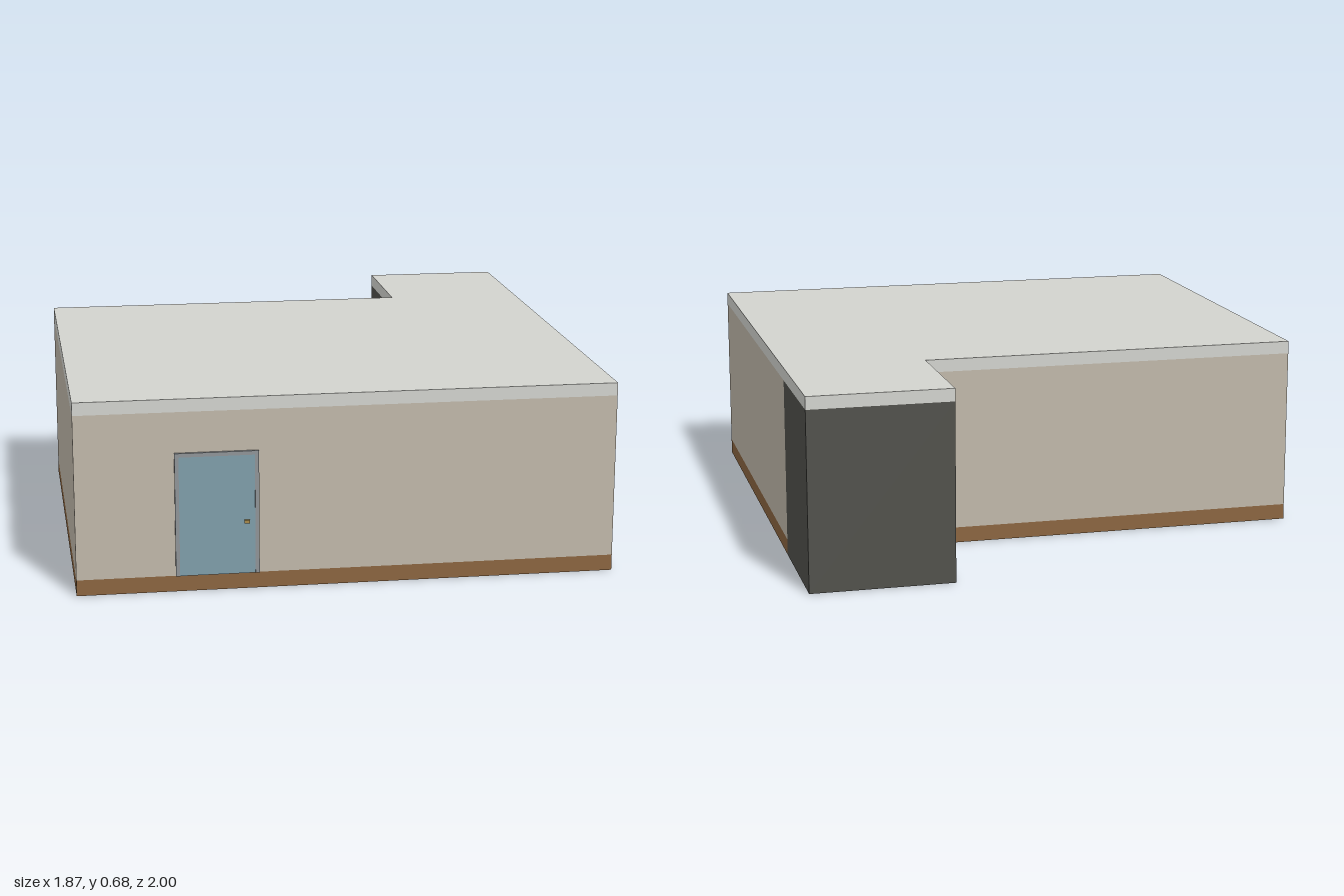
import * as THREE from 'three';

const paint = (color) => new THREE.MeshStandardMaterial({ color });

// Box given by its minimum and maximum corners
function addBox(parent, name, material, [x0, y0, z0], [x1, y1, z1]) {
  const mesh = new THREE.Mesh(new THREE.BoxGeometry(x1 - x0, y1 - y0, z1 - z0), material);
  mesh.position.set((x0 + x1) / 2, (y0 + y1) / 2, (z0 + z1) / 2);
  mesh.name = name;
  parent.add(mesh);
  return mesh;
}

function shapeFrom(points) {
  return new THREE.Shape(points.map(([x, y]) => new THREE.Vector2(x, y)));
}

export function createModel() {
  const group = new THREE.Group();
  group.name = 'building';

  const side = 0.935, front = 0.98, back = -0.535, annexBack = -1, annexLeft = 0.43;
  const floorTop = 0.056, wallTop = 0.632, roofTop = 0.677;

  // Main room on its timber floor slab
  addBox(group, 'floorSlab', paint(0x8b6540), [-side, 0, back], [side, floorTop, front]);
  addBox(group, 'walls', paint(0xc0b8aa), [-side, floorTop, back], [side, wallTop, front]);

  // Dark annex at the back corner
  addBox(group, 'annex', paint(0x50504b), [annexLeft, 0, annexBack], [side, wallTop, back]);

  // L-shaped flat roof; shape y becomes -z when laid flat
  const outline = shapeFrom([
    [-side, -front], [side, -front], [side, -annexBack],
    [annexLeft, -annexBack], [annexLeft, -back], [-side, -back],
  ]);
  const roofGeometry = new THREE.ExtrudeGeometry(outline, { depth: roofTop - wallTop, bevelEnabled: false });
  roofGeometry.rotateX(-Math.PI / 2);
  const roof = new THREE.Mesh(roofGeometry, paint(0xd2d3ce));
  roof.position.y = wallTop;
  roof.name = 'roof';
  group.add(roof);

  // Front door: frame, panel and handle
  const door = new THREE.Group();
  door.name = 'door';
  group.add(door);

  const left = -0.597, right = -0.31, top = 0.49, rim = 0.014;
  const frameShape = shapeFrom([
    [left, floorTop], [left + rim, floorTop], [left + rim, top - rim], [right - rim, top - rim],
    [right - rim, floorTop], [right, floorTop], [right, top], [left, top],
  ]);
  const frame = new THREE.Mesh(
    new THREE.ExtrudeGeometry(frameShape, { depth: 0.009, bevelEnabled: false }), paint(0x8f9498));
  frame.position.z = front;
  frame.name = 'doorFrame';
  door.add(frame);

  addBox(door, 'doorPanel', paint(0x7f9eaa), [left + rim, floorTop, front], [right - rim, top - rim, front + 0.006]);

  const brass = paint(0xa88a4a);
  addBox(door, 'handleStem', brass, [-0.354, 0.239, front + 0.006], [-0.346, 0.247, 0.993]);
  addBox(door, 'handleGrip', brass, [-0.362, 0.237, 0.992], [-0.344, 0.249, 1]);

  return group;
}
